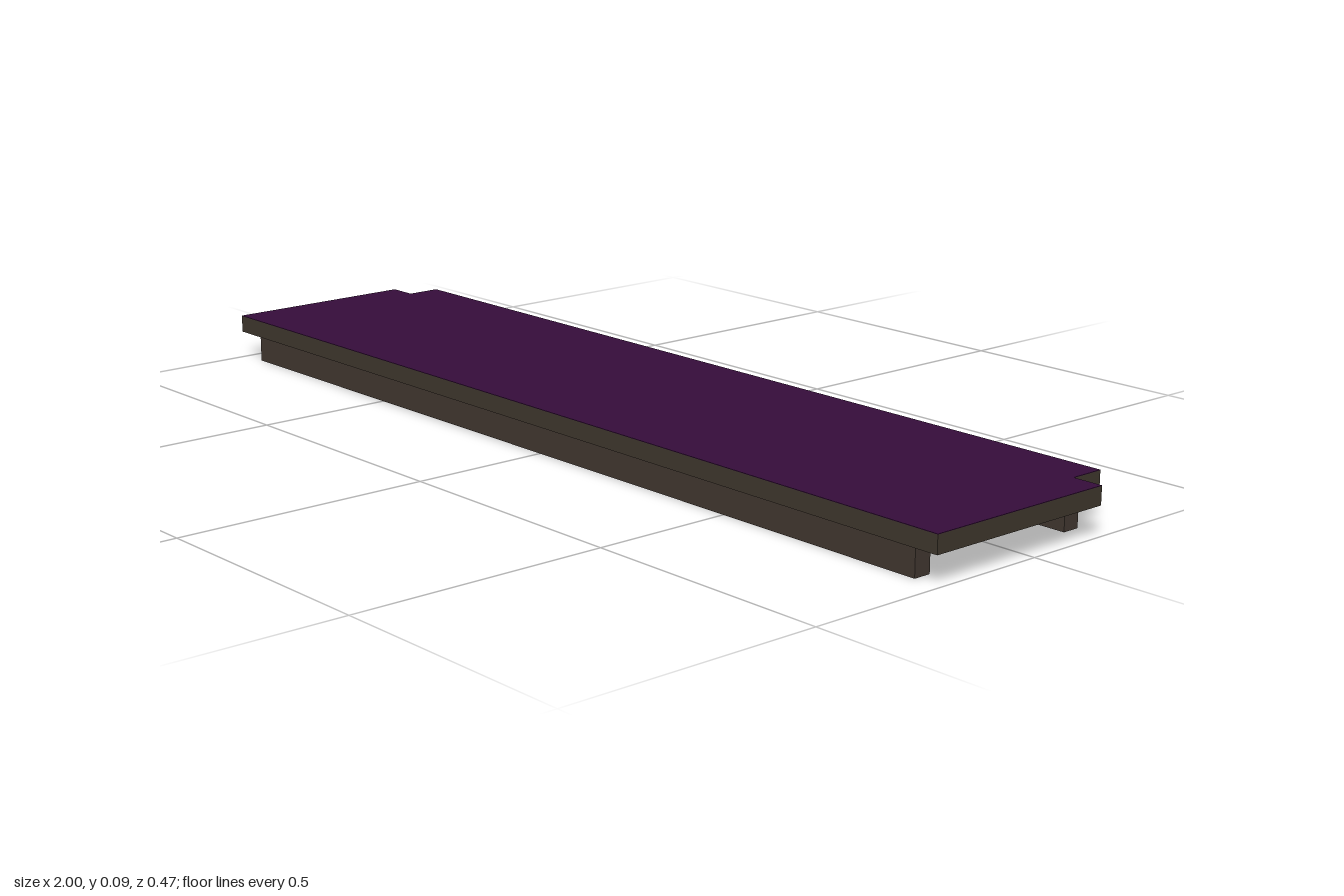
import * as THREE from 'three';

export function createModel() {
  const group = new THREE.Group();
  const material = (name, color) => {
    const m = new THREE.MeshStandardMaterial({ color });
    m.name = name;
    return m;
  };
  const wood = material('dark wood', 0x3e362c);
  const railWood = material('rail wood', 0x40362f);
  const purple = material('purple top', 0x350d3a);
  const stripColor = material('dark violet strip', 0x2f2638);

  const addBox = (name, mat, [x0, x1], [y0, y1], [z0, z1]) => {
    const mesh = new THREE.Mesh(new THREE.BoxGeometry(x1 - x0, y1 - y0, z1 - z0), mat);
    mesh.position.set((x0 + x1) / 2, (y0 + y1) / 2, (z0 + z1) / 2);
    mesh.name = name;
    group.add(mesh);
  };

  // Board outline with notched back corners (shape y becomes -z)
  const outline = new THREE.Shape([
    [-1, -0.235], [1, -0.235], [1, 0.165], [0.94, 0.165],
    [0.94, 0.235], [-0.94, 0.235], [-0.94, 0.165], [-1, 0.165],
  ].map(([x, y]) => new THREE.Vector2(x, y)));

  const addSlab = (name, mat, y, depth) => {
    const geometry = new THREE.ExtrudeGeometry(outline, { depth, bevelEnabled: false });
    geometry.rotateX(-Math.PI / 2);
    const mesh = new THREE.Mesh(geometry, mat);
    mesh.position.y = y;
    mesh.name = name;
    group.add(mesh);
  };
  addSlab('board', wood, 0.055, 0.034);
  addSlab('topSurface', purple, 0.089, 0.001);

  // Long support rails under the board
  addBox('frontRail', railWood, [-0.945, 0.945], [0, 0.055], [0.19, 0.225]);
  addBox('backRail', railWood, [-0.945, 0.945], [0, 0.055], [-0.175, -0.14]);

  // Thin strips on the underside
  addBox('leftStrip', stripColor, [0.3, 0.7], [0.047, 0.055], [0.03, 0.042]);
  addBox('rightStrip', stripColor, [-0.7, -0.3], [0.047, 0.055], [0.03, 0.042]);

  return group;
}
